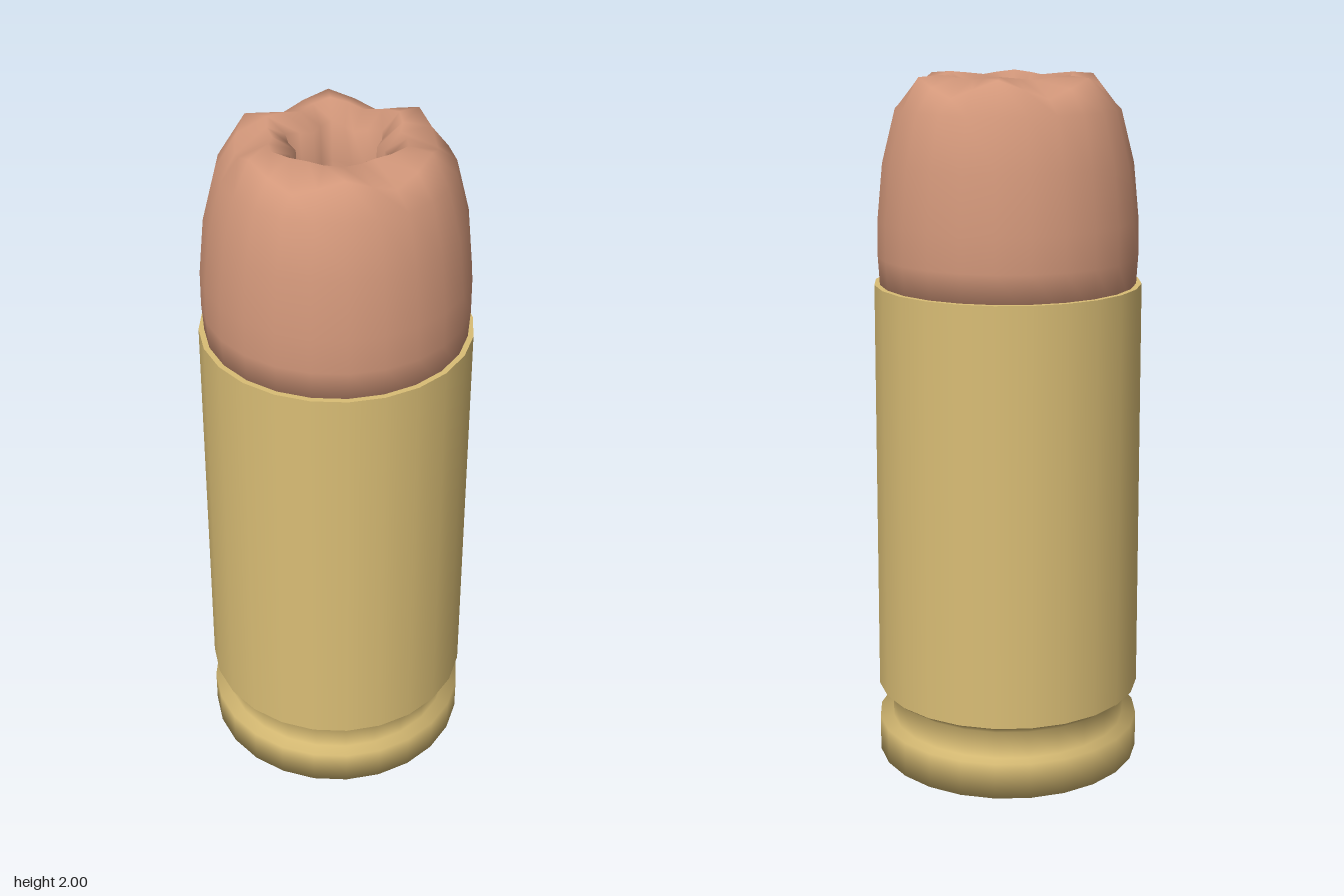
import * as THREE from 'three';
import { mergeVertices } from 'three/addons/utils/BufferGeometryUtils.js';

const SIDES = 24;

// Lathe around y from [radius, height] pairs, listed bottom to top
function lathe(profile) {
  return new THREE.LatheGeometry(profile.map(([r, y]) => new THREE.Vector2(r, y)), SIDES);
}

// Lathe whose rings blend between a petal [r, y] and a notch [r, y], six times around
function scallopedLathe(rings) {
  const geometry = lathe(rings.map(([r, y]) => [r, y]));
  const pos = geometry.attributes.position;
  for (let i = 0; i <= SIDES; i++) {
    const phi = (i / SIDES) * Math.PI * 2;
    const notch = (1 + Math.cos(6 * phi)) / 2;
    rings.forEach(([r, y, rNotch = r, yNotch = y], j) => {
      const radius = THREE.MathUtils.lerp(r, rNotch, notch);
      pos.setXYZ(i * rings.length + j, radius * Math.sin(phi),
        THREE.MathUtils.lerp(y, yNotch, notch), radius * Math.cos(phi));
    });
  }
  // Weld the seam so the normals run smoothly around
  geometry.deleteAttribute('uv');
  geometry.deleteAttribute('normal');
  const welded = mergeVertices(geometry, 1e-4);
  welded.computeVertexNormals();
  return welded;
}

export function createModel() {
  const brass = new THREE.MeshStandardMaterial({ name: 'brass', color: 0xd9bd75 });
  const copper = new THREE.MeshStandardMaterial({ name: 'copper', color: 0xd2977a });
  const group = new THREE.Group();
  group.name = 'cartridge';

  function add(name, geometry, material) {
    const mesh = new THREE.Mesh(geometry, material);
    mesh.name = name;
    group.add(mesh);
  }

  // Base disc, rim and extraction groove
  add('rim', lathe([
    [0, 0], [0.388, 0], [0.388, 0.105], [0.347, 0.105], [0.347, 0.185], [0.388, 0.215],
  ]), brass);

  // Slightly tapered case wall
  add('caseBody', lathe([[0.388, 0.215], [0.38, 1.42]]), brass);

  // Open mouth: flat lip and the short inner wall
  add('caseLip', lathe([[0.38, 1.42], [0.364, 1.42]]), brass);
  add('caseInnerWall', lathe([[0.364, 1.42], [0.364, 1.36]]), brass);

  // Hollow-point bullet: base, ogive, scalloped crown and cavity
  add('bullet', scallopedLathe([
    [0, 1.38], [0.362, 1.38], [0.369, 1.5], [0.368, 1.6], [0.352, 1.76],
    [0.315, 1.905], [0.265, 1.995, 0.262, 1.945], [0.2, 2, 0.165, 1.99],
    [0.147, 1.96, 0.105, 1.95], [0.135, 1.85, 0.1, 1.85], [0.1, 1.7], [0, 1.68],
  ]), copper);

  return group;
}
